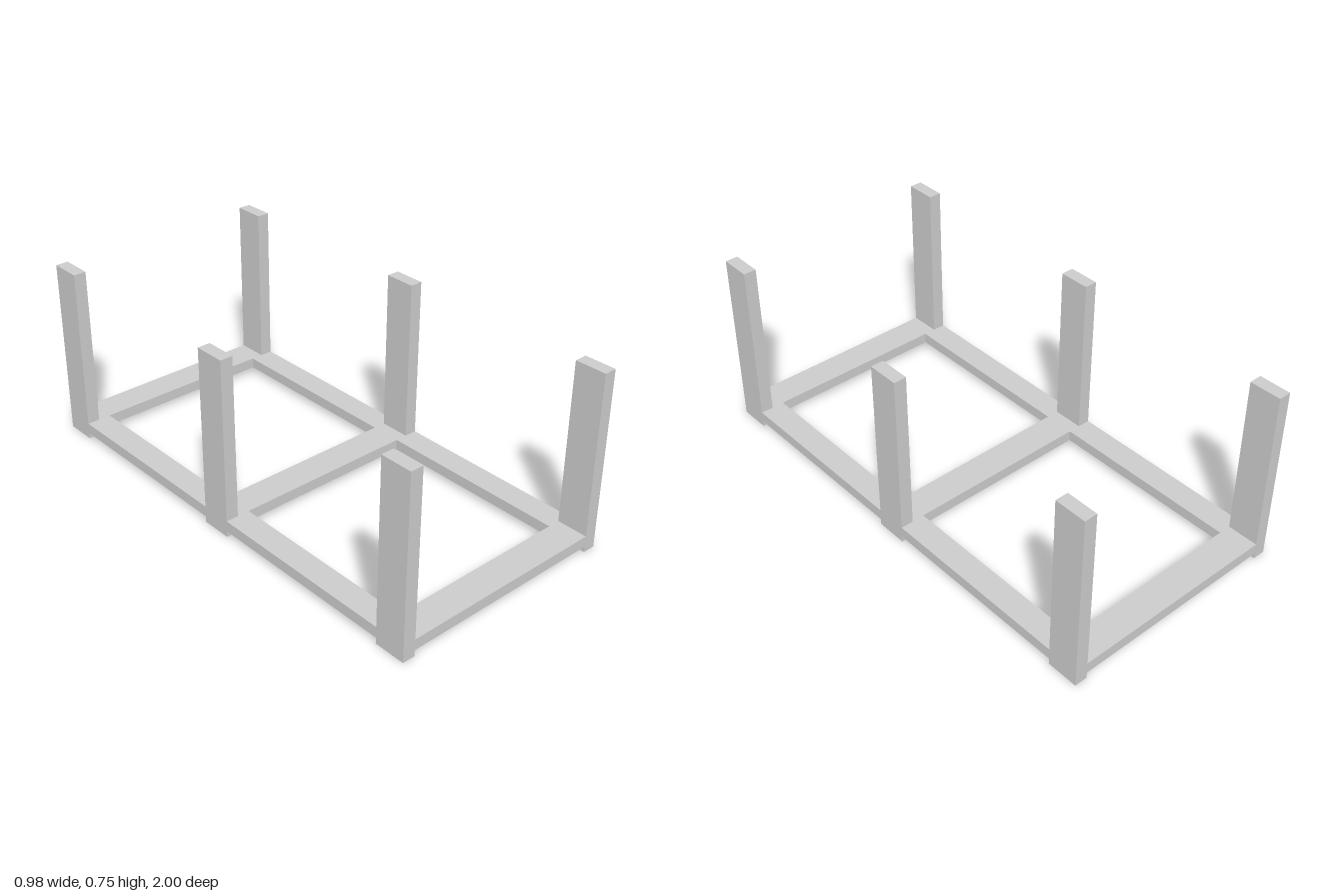
import * as THREE from 'three';

const HALF_W = 0.49, HALF_L = 1;                  // outer footprint
const POST = { w: 0.053, h: 0.745, d: 0.13 };
const RAIL_W = 0.104, RAIL_BOTTOM = 0.025, RAIL_H = 0.045;

// Rectangular outline, usable as a shape or a hole
function rectangle(path, x0, y0, x1, y1) {
  path.moveTo(x0, y0);
  path.lineTo(x1, y0);
  path.lineTo(x1, y1);
  path.lineTo(x0, y1);
  path.closePath();
  return path;
}

export function createModel() {
  const model = new THREE.Group();
  model.name = 'postFrame';
  const material = new THREE.MeshStandardMaterial({ color: 0xcccccc, flatShading: true });

  // Flat base frame with two openings, separated by a middle crossbar
  const outline = rectangle(new THREE.Shape(), -HALF_W, -HALF_L, HALF_W, HALF_L);
  const innerX = HALF_W - RAIL_W, near = POST.d / 2, far = HALF_L - POST.d;
  for (const [a, b] of [[-far, -near], [near, far]]) {
    outline.holes.push(rectangle(new THREE.Path(), -innerX, a, innerX, b));
  }
  const frameGeometry = new THREE.ExtrudeGeometry(outline, { depth: RAIL_H, bevelEnabled: false });
  frameGeometry.rotateX(-Math.PI / 2).translate(0, RAIL_BOTTOM, 0);
  const frame = new THREE.Mesh(frameGeometry, material);
  frame.name = 'baseFrame';
  model.add(frame);

  // Three pairs of upright posts, flush with the outer edges of the frame
  const postGeometry = new THREE.BoxGeometry(POST.w, POST.h, POST.d);
  const rows = { front: HALF_L - POST.d / 2, middle: 0, back: -HALF_L + POST.d / 2 };
  for (const [row, z] of Object.entries(rows)) {
    for (const side of [-1, 1]) {
      const post = new THREE.Mesh(postGeometry, material);
      post.name = row + (side > 0 ? 'Left' : 'Right') + 'Post';
      post.position.set(side * (HALF_W - POST.w / 2), POST.h / 2, z);
      model.add(post);
    }
  }
  return model;
}
